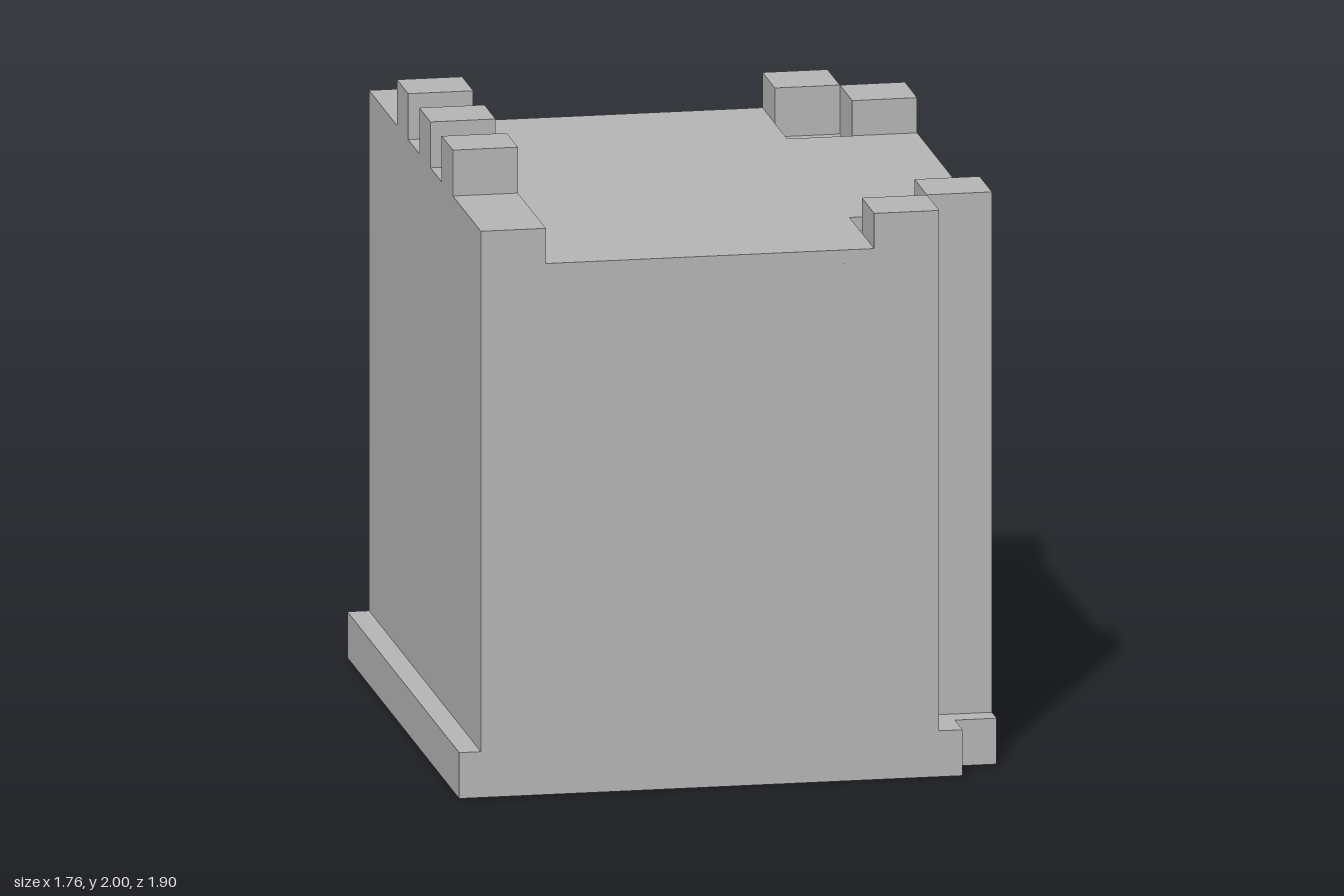
import * as THREE from 'three';

const SIDE = 0.95, RIGHT = 0.88, LEFT = -0.81;

// Plan outline with a square bite out of both corners on the +x side
function outline(xMin, biteX, biteZ) {
  return [
    [xMin, -SIDE], [biteX, -SIDE], [biteX, -biteZ], [RIGHT, -biteZ],
    [RIGHT, biteZ], [biteX, biteZ], [biteX, SIDE], [xMin, SIDE],
  ];
}

export function createModel() {
  const group = new THREE.Group();
  const stone = new THREE.MeshStandardMaterial({ color: 0xb4b4b4 });
  stone.name = 'grey stone';

  const add = (name, geometry) => {
    const mesh = new THREE.Mesh(geometry, stone);
    mesh.name = name;
    group.add(mesh);
    return mesh;
  };

  const box = (name, x0, x1, y0, y1, z0, z1) => {
    const mesh = add(name, new THREE.BoxGeometry(x1 - x0, y1 - y0, z1 - z0));
    mesh.position.set((x0 + x1) / 2, (y0 + y1) / 2, (z0 + z1) / 2);
  };

  // Upright slab with the given plan
  const slab = (name, points, y0, y1) => {
    const shape = new THREE.Shape(points.map(([x, z]) => new THREE.Vector2(x, -z)));
    const geometry = new THREE.ExtrudeGeometry(shape, { depth: y1 - y0, bevelEnabled: false });
    geometry.rotateX(-Math.PI / 2);
    add(name, geometry).position.y = y0;
  };

  // Plinth, tower body and the roof deck, sunk at the two notched corners
  const base = outline(-RIGHT, 0.745, 0.82);
  slab('plinth', base, 0.13, 0.15);
  slab('body', outline(LEFT, 0.67, 0.74), 0.15, 1.69);
  slab('roofDeck', outline(LEFT, 0.46, 0.53), 1.69, 1.735);

  // Two posts beside each notched corner
  for (const s of [-1, 1]) {
    const span = (a, b) => (s > 0 ? [a, b] : [-b, -a]);
    box('endPost', 0.46, 0.67, 1.69, 1.85, ...span(0.74, SIDE));
    box('sidePost', 0.67, RIGHT, 1.69, 1.85, ...span(0.53, 0.74));
  }

  // Parapet with three battlements
  box('parapet', LEFT, -0.6, 1.735, 1.85, -SIDE, SIDE);
  for (const z of [-0.38, 0, 0.38]) {
    box('battlement', LEFT, -0.6, 1.85, 2, z - 0.095, z + 0.095);
  }

  // Thin skirt around the hollow underside
  const t = 0.01;
  base.forEach(([x, z], i) => {
    const [x2, z2] = base[(i + 1) % base.length];
    // Keep each wall inside the outline
    const inX = z === z2 ? 0 : (z2 > z ? -t : t);
    const inZ = x === x2 ? 0 : (x2 > x ? t : -t);
    const xs = [x, x2 + inX].sort((a, b) => a - b);
    const zs = [z, z2 + inZ].sort((a, b) => a - b);
    box('skirt', xs[0], xs[1], 0, 0.13, zs[0], zs[1]);
  });

  // Grid of thin ribs underneath
  for (const p of [-0.74, 0, 0.74]) {
    box('ribAlongDepth', p - t / 2, p + t / 2, 0, 0.13, -SIDE + t, SIDE - t);
    const end = p === 0 ? RIGHT : 0.87;
    box('ribAcrossWidth', -RIGHT + t, end - t, 0, 0.13, p - t / 2, p + t / 2);
  }
  return group;
}
